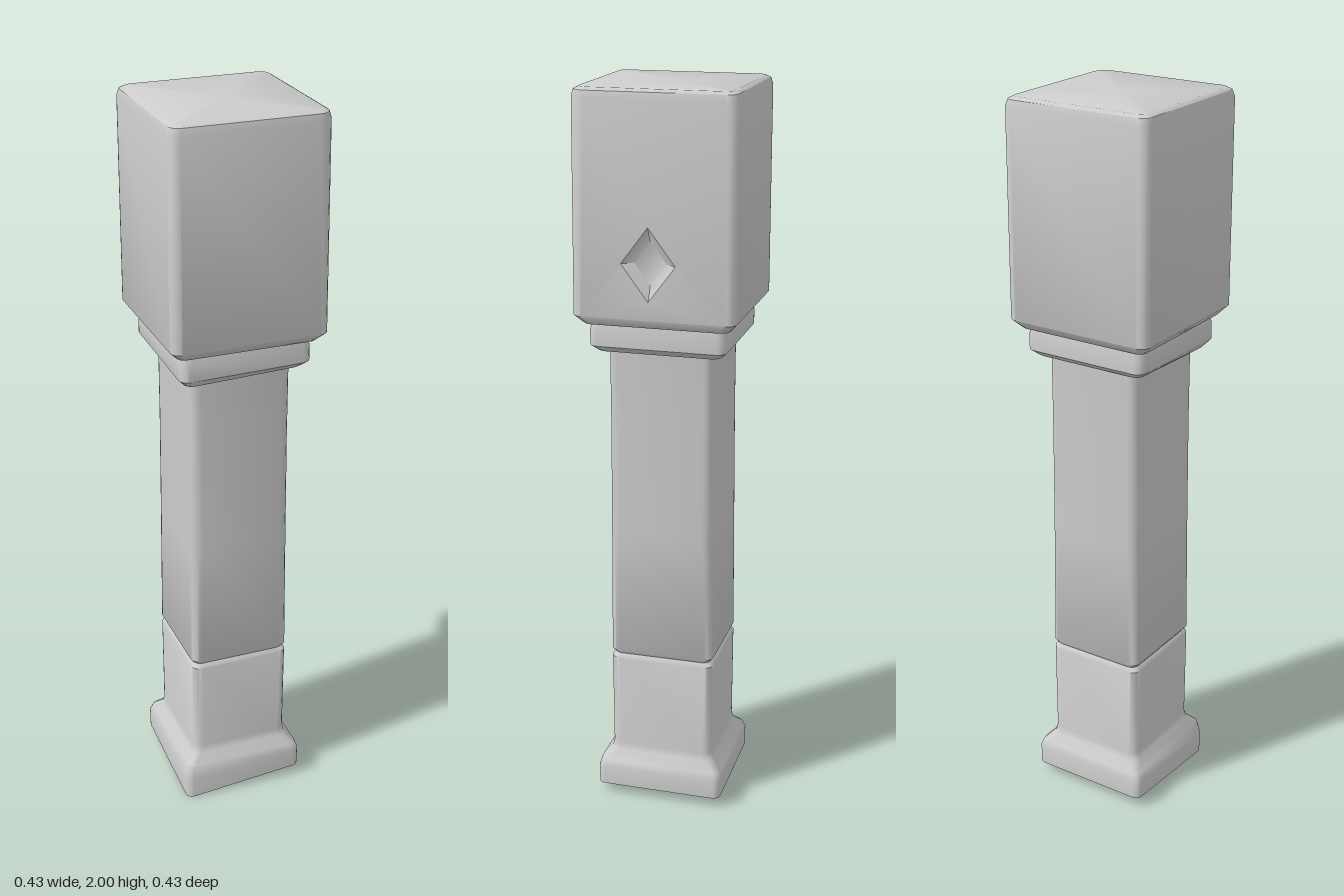
import * as THREE from 'three';
import { mergeGeometries, toCreasedNormals } from 'three/addons/utils/BufferGeometryUtils.js';

const stone = new THREE.MeshStandardMaterial({ color: 0xcccccc });
stone.name = 'grey stone';
const STEPS = 4; // segments in each rounded corner

// Rounded-square ring; drop lowers the left front corner (-x, +z), chip widens the (+x, +z) one.
function ring({ y, hx, hz = hx + 0.004, r = 0.025, drop = 0, chip = 0 }) {
  const pts = [];
  for (let k = 0; k < 4; k++) {
    const rad = k === 0 ? r + chip : r;
    const sx = k === 0 || k === 3 ? 1 : -1, sz = k < 2 ? 1 : -1;
    for (let j = 0; j <= STEPS; j++) {
      const a = (k + j / STEPS) * Math.PI / 2;
      const x = sx * (hx - rad) + rad * Math.cos(a);
      const z = sz * (hz - rad) + rad * Math.sin(a);
      const tilt = ((hx - x) / (2 * hx)) * ((z + hz) / (2 * hz));
      pts.push([x, y - drop * tilt, z]);
    }
  }
  return pts;
}

function toGeometry(triangles) {
  const g = new THREE.BufferGeometry();
  g.setAttribute('position', new THREE.Float32BufferAttribute(triangles.flat(), 3));
  return g;
}

// Skin between rings; openLevel leaves out the flat +x side of that level.
function loft(sections, { bottom = false, top = false, openLevel = -1 } = {}) {
  const rings = sections.map(ring), n = rings[0].length, tris = [];
  for (let s = 0; s < rings.length - 1; s++) {
    const a = rings[s], b = rings[s + 1];
    for (let i = 0; i < n; i++) {
      if (s === openLevel && i === n - 1) continue;
      const j = (i + 1) % n;
      tris.push(a[i], b[i], b[j], a[i], b[j], a[j]);
    }
  }
  const cap = (pts, up) => {
    const c = [0, pts.reduce((sum, p) => sum + p[1], 0) / n, 0];
    for (let i = 0; i < n; i++) {
      const j = (i + 1) % n;
      tris.push(c, up ? pts[j] : pts[i], up ? pts[i] : pts[j]);
    }
  };
  if (bottom) cap(rings[0], false);
  if (top) cap(rings[rings.length - 1], true);
  return toGeometry(tris);
}

function addPart(group, name, geometry) {
  const mesh = new THREE.Mesh(toCreasedNormals(geometry, 0.75), stone);
  mesh.name = name;
  group.add(mesh);
}

export function createModel() {
  const model = new THREE.Group();
  model.name = 'stone post';

  // Flared foot with an uneven underside
  addPart(model, 'base', loft([
    { y: 0.03, hx: 0.174, hz: 0.178, r: 0.02, drop: 0.03 },
    { y: 0.085, hx: 0.175, hz: 0.178, r: 0.02, drop: 0.02 },
    { y: 0.105, hx: 0.168, r: 0.022 },
    { y: 0.13, hx: 0.145, r: 0.026 },
    { y: 0.15, hx: 0.141, r: 0.027 },
    { y: 0.42, hx: 0.142, r: 0.025 },
    { y: 0.431, hx: 0.133, r: 0.022 },
  ], { bottom: true }));

  // Shaft, slightly narrower in its upper half
  addPart(model, 'shaft', loft([
    { y: 0.431, hx: 0.133, r: 0.022 },
    { y: 0.443, hx: 0.142, r: 0.025 },
    { y: 0.8, hx: 0.141, r: 0.03 },
    { y: 1.1, hx: 0.139, r: 0.027 },
    { y: 1.33, hx: 0.139, r: 0.025 },
  ]));

  // Collar under the head
  addPart(model, 'collar', loft([
    { y: 1.312, hx: 0.136, drop: 0.012 },
    { y: 1.317, hx: 0.162, drop: 0.012 },
    { y: 1.334, hx: 0.18, drop: 0.008 },
    { y: 1.375, hx: 0.18 },
    { y: 1.4, hx: 0.174 },
  ]));

  // Head, with the +x side left open for the carved panel
  const hx = 0.213, hz = 0.217, r = 0.025, chip = 0.016, low = 1.42, high = 1.975;
  const headSkin = loft([
    { y: 1.392, hx: 0.165 },
    { y: 1.395, hx: 0.19, r: 0.022 },
    { y: low, hx, hz, r },
    { y: high, hx, hz, r, chip },
    { y: 1.993, hx: 0.208, r, chip: 0.012 },
    { y: 2, hx: 0.196, r: 0.022, chip: 0.01 },
  ], { top: true, openLevel: 2 });

  // Side panel with a diamond opening, drawn with u = -z
  const e = hz - r, cz = 0.01, cy = 1.565;
  const diamond = (w, h) => [[-cz - w, cy], [-cz, cy - h], [-cz + w, cy], [-cz, cy + h]];
  const outer = diamond(0.072, 0.096), inner = diamond(0.042, 0.056);
  const panel = new THREE.Shape([[-e, low], [e, low], [e, high], [-(e - chip), high]]
    .map(([u, v]) => new THREE.Vector2(u, v)));
  panel.holes.push(new THREE.Path(outer.map(([u, v]) => new THREE.Vector2(u, v))));
  const panelGeo = new THREE.ShapeGeometry(panel).toNonIndexed();
  panelGeo.deleteAttribute('uv');
  panelGeo.deleteAttribute('normal');
  panelGeo.rotateY(Math.PI / 2).translate(hx, 0, 0);
  addPart(model, 'head', mergeGeometries([headSkin, panelGeo]));

  // Sloping walls and flat floor of the carved diamond
  const at = (pts, x) => pts.map(([u, v]) => [x, v, -u]);
  const rim = at(outer, hx), floor = at(inner, hx - 0.022), carve = [];
  for (let i = 0; i < 4; i++) {
    const j = (i + 1) % 4;
    carve.push(rim[i], rim[j], floor[j], rim[i], floor[j], floor[i]);
  }
  carve.push(floor[0], floor[1], floor[2], floor[0], floor[2], floor[3]);
  addPart(model, 'carvedDiamond', toGeometry(carve).toNonIndexed());
  return model;
}
